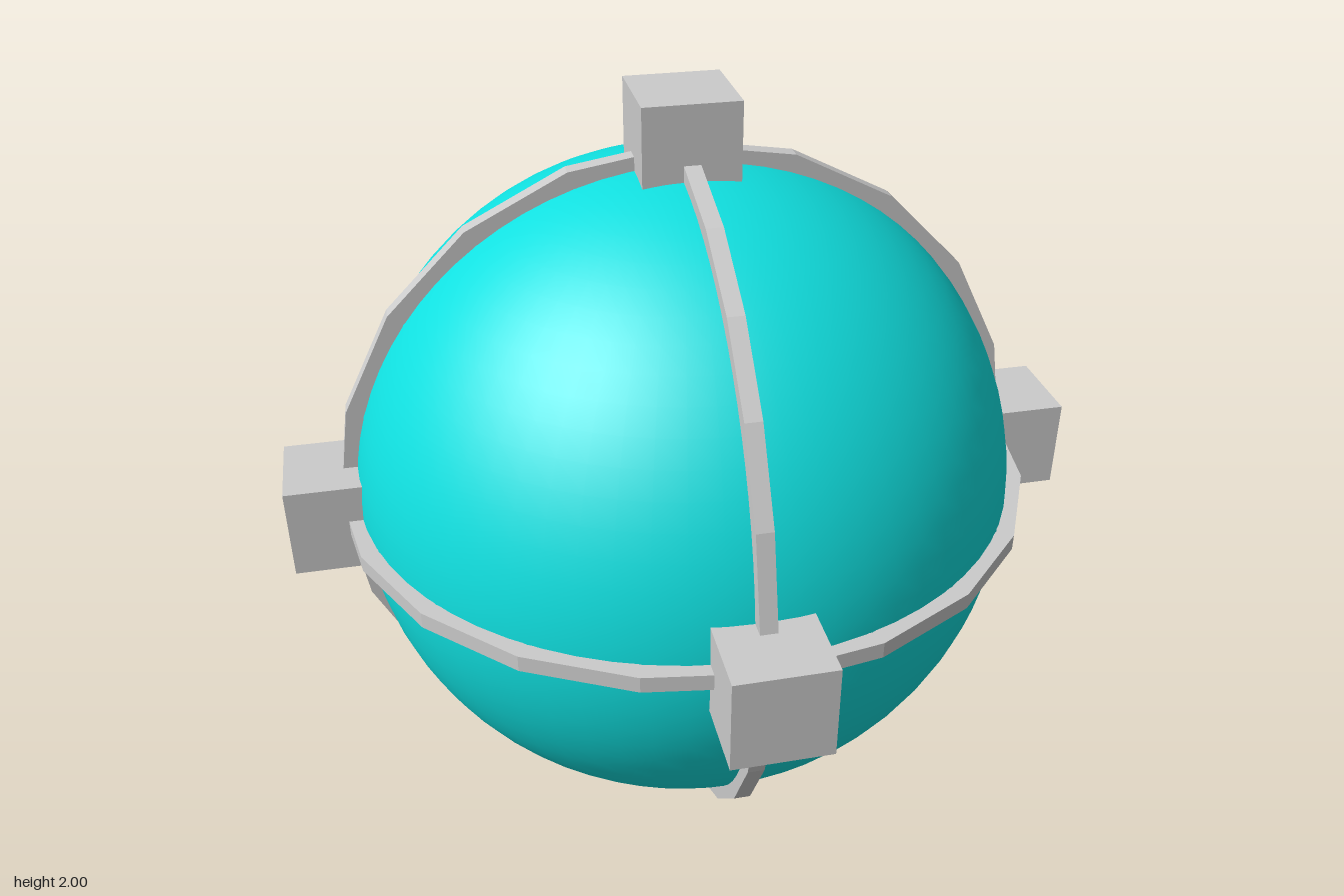
import * as THREE from 'three';

const CENTRE = 1, CORE_R = 0.83, BAND_OUT = 0.873, BAND_HALF = 0.02, CUBE = 0.23;

export function createModel() {
  const model = new THREE.Group();
  model.name = 'bandedSphere';
  const coreMat = new THREE.MeshStandardMaterial({ color: 0x10e0e0 });
  const frameMat = new THREE.MeshStandardMaterial({ color: 0xcccccc, flatShading: true });

  const add = (name, geometry, material, parent = model) => {
    const mesh = new THREE.Mesh(geometry, material);
    mesh.name = name;
    parent.add(mesh);
    return mesh;
  };

  // Smooth core
  add('core', new THREE.SphereGeometry(CORE_R, 64, 40), coreMat).position.y = CENTRE;

  // Faceted bands of rectangular section around the three main circles
  const bandGeometry = (sides, outer, start = 0) => {
    const inner = outer - 0.043;
    const profile = [[inner, -1], [outer, -1], [outer, 1], [inner, 1], [inner, -1]]
      .map(([r, s]) => new THREE.Vector2(r, s * BAND_HALF));
    return new THREE.LatheGeometry(profile, sides, start);
  };
  const bands = [
    ['equatorBand', bandGeometry(20, BAND_OUT)],
    ['frontPlaneBand', bandGeometry(20, BAND_OUT).rotateX(Math.PI / 2)],
    ['sidePlaneBand', bandGeometry(24, 0.868, Math.PI / 24).rotateZ(Math.PI / 2)],
  ];
  for (const [name, geometry] of bands) add(name, geometry, frameMat).position.y = CENTRE;

  // Cubes where the bands cross
  const cubes = new THREE.Group();
  cubes.name = 'crossingCubes';
  cubes.position.y = CENTRE;
  model.add(cubes);
  const cube = new THREE.BoxGeometry(CUBE, CUBE, CUBE);
  const spots = {
    left: [1, 0, 0], right: [-1, 0, 0], top: [0, 1, 0],
    bottom: [0, -1, 0], front: [0, 0, 1], back: [0, 0, -1],
  };
  for (const [side, dir] of Object.entries(spots)) {
    add(side + 'Cube', cube, frameMat, cubes).position.set(...dir).multiplyScalar(1 - CUBE / 2);
  }
  return model;
}
